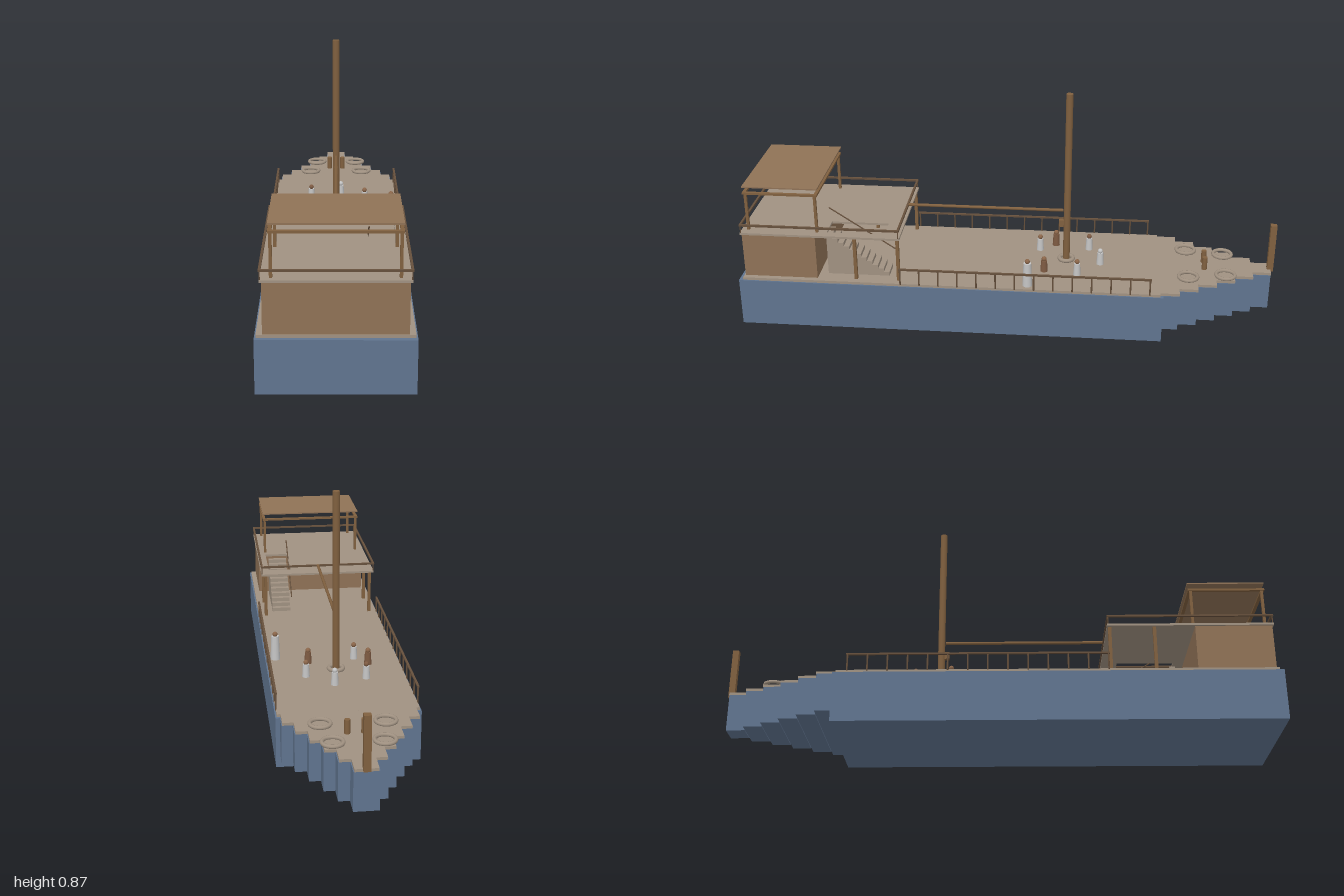
import * as THREE from 'three';

const mat = (name, color) => Object.assign(new THREE.MeshStandardMaterial({ color }), { name });

export function createModel() {
  const ship = new THREE.Group();
  ship.name = 'barge';
  const M = {
    hull: mat('hullBlue', 0x60748f),
    deck: mat('deckTan', 0xa09181),
    wood: mat('wood', 0x8f7256),
    mast: mat('mastWood', 0x80603f),
    rail: mat('darkRail', 0x66503c),
    white: mat('paleCloth', 0xc4c4c4),
    brown: mat('brownCloth', 0x7d5a42),
    skin: mat('skin', 0x8a6549),
  };
  const add = (name, geo, m, parent = ship) => {
    const mesh = new THREE.Mesh(geo, m);
    mesh.name = name;
    parent.add(mesh);
    return mesh;
  };
  // box from opposite corners
  const box = (name, m, x0, x1, y0, y1, z0, z1, parent) => {
    const b = add(name, new THREE.BoxGeometry(x1 - x0, y1 - y0, z1 - z0), m, parent);
    b.position.set((x0 + x1) / 2, (y0 + y1) / 2, (z0 + z1) / 2);
    return b;
  };
  // upright cylinder from its base
  const post = (name, m, x, z, y0, y1, r, parent) => {
    const c = add(name, new THREE.CylinderGeometry(r, r, y1 - y0, 12), m, parent);
    c.position.set(x, (y0 + y1) / 2, z);
    return c;
  };
  // straight round bar between two points
  const bar = (name, m, a, b, r, parent) => {
    const A = new THREE.Vector3(...a), B = new THREE.Vector3(...b), d = B.clone().sub(A);
    const c = add(name, new THREE.CylinderGeometry(r, r, d.length(), 8), m, parent);
    c.position.copy(A).add(B).multiplyScalar(0.5);
    c.quaternion.setFromUnitVectors(new THREE.Vector3(0, 1, 0), d.normalize());
    return c;
  };

  // hull, main deck and stepped bow
  box('hull', M.hull, -0.25, 0.25, 0, 0.183, -0.58, 1);
  box('mainDeck', M.deck, -0.245, 0.245, 0.183, 0.193, -0.57, 0.985);
  [0.235, 0.197, 0.157, 0.118, 0.08, 0.042].forEach((w, i) => {
    const z = -0.57 - i * 0.07;
    box('bowStep', M.hull, -w, w, 0.045, 0.183, z - 0.068, z);
    box('bowDeck', M.deck, -w + 0.003, w - 0.003, 0.183, 0.193, z - 0.07, z);
  });
  box('bowPost', M.mast, -0.012, 0.012, 0.186, 0.375, -1, -0.977);

  // mooring rings and bollards
  for (const s of [-1, 1]) {
    for (const [x, z] of [[0.085, -0.815], [0.11, -0.675]]) {
      const ring = add('ropeRing', new THREE.TorusGeometry(0.035, 0.007, 8, 24), M.deck);
      ring.rotation.x = Math.PI / 2;
      ring.position.set(s * x, 0.202, z);
    }
    post('bollard', M.mast, s * 0.028, -0.74, 0.193, 0.243, 0.01);
  }

  // mast, its collar and boom
  post('mast', M.mast, 0, -0.215, 0.193, 0.87, 0.013);
  const collar = add('mastCollar', new THREE.TorusGeometry(0.026, 0.008, 8, 24), M.deck);
  collar.rotation.x = Math.PI / 2;
  collar.position.set(0, 0.202, -0.215);
  bar('boom', M.mast, [0, 0.404, -0.2], [0, 0.404, 0.39], 0.006);
  box('mastCleat', M.mast, -0.008, 0.008, 0.338, 0.365, -0.203, -0.185);

  // side railings
  for (const s of [-1, 1]) {
    const g = new THREE.Group();
    g.name = 'sideRailing';
    ship.add(g);
    const x = s * 0.245;
    box('topRail', M.rail, x - 0.004, x + 0.004, 0.25, 0.256, -0.535, 0.395, g);
    for (let i = 0; i < 14; i++) post('railPost', M.rail, x, 0.39 - i * 0.0708, 0.19, 0.252, 0.003, g);
  }

  // deckhouse and upper deck around the stair opening
  box('deckhouse', M.wood, -0.225, 0.225, 0.193, 0.365, 0.705, 0.98);
  for (const [x0, x1, z0, z1] of [
    [-0.232, 0.232, 0.665, 0.985], [-0.232, 0.232, 0.39, 0.45],
    [-0.232, 0.107, 0.45, 0.665], [0.198, 0.232, 0.45, 0.665],
  ]) box('upperDeck', M.deck, x0, x1, 0.364, 0.372, z0, z1);
  for (const s of [-1, 1]) {
    for (const z of [0.4, 0.56]) box('deckPost', M.mast, s * 0.215 - 0.006, s * 0.215 + 0.006, 0.193, 0.364, z - 0.006, z + 0.006);
    box('upperSideRail', M.rail, s * 0.23 - 0.004, s * 0.23 + 0.004, 0.399, 0.406, 0.39, 0.985);
    for (const z of [0.394, 0.981]) post('railStub', M.rail, s * 0.23, z, 0.37, 0.4, 0.002);
  }
  for (const z of [0.394, 0.981]) box('upperCrossRail', M.rail, -0.23, 0.23, 0.399, 0.406, z - 0.004, z + 0.004);

  // staircase: stepped profile extruded across x
  const steps = 11, profile = new THREE.Shape();
  profile.moveTo(-0.672, 0.193);
  profile.lineTo(-0.44, 0.193);
  for (let i = 0; i < steps; i++) {
    const y = 0.193 + (i + 1) * 0.0145;
    profile.lineTo(-0.44 - i * 0.0211, y);
    profile.lineTo(-0.44 - (i + 1) * 0.0211, y);
  }
  const stairGeo = new THREE.ExtrudeGeometry(profile, { depth: 0.075, bevelEnabled: false });
  stairGeo.rotateY(Math.PI / 2);
  const stairs = add('staircase', stairGeo, M.deck);
  stairs.position.x = 0.11;
  bar('stairHandrail', M.rail, [0.107, 0.43, 0.675], [0.107, 0.262, 0.42], 0.0025);

  // canopy over the deckhouse
  box('canopyRoof', M.wood, -0.205, 0.205, 0.543, 0.548, 0.69, 0.97);
  for (const s of [-1, 1]) {
    for (const z of [0.702, 0.96]) box('canopyPost', M.mast, s * 0.197 - 0.005, s * 0.197 + 0.005, 0.372, 0.518, z - 0.005, z + 0.005);
    box('canopySideBeam', M.mast, s * 0.199 - 0.006, s * 0.199 + 0.006, 0.516, 0.524, 0.692, 0.97);
  }
  for (const z of [0.698, 0.964]) box('canopyCrossBeam', M.mast, -0.205, 0.205, 0.516, 0.524, z - 0.006, z + 0.006);

  // crew: x, z, height, body and head colours
  for (const [x, z, h, body, head] of [
    [0.02, -0.345, 0.06, M.white, M.white], [-0.1, -0.3, 0.06, M.white, M.brown],
    [0.115, -0.26, 0.06, M.white, M.skin], [-0.125, -0.17, 0.06, M.brown, M.skin],
    [0.095, -0.135, 0.055, M.brown, M.skin], [-0.08, -0.11, 0.06, M.white, M.skin],
    [0.213, -0.08, 0.115, M.white, M.skin],
  ]) {
    const g = new THREE.Group();
    g.name = 'crewMember';
    g.position.set(x, 0.193, z);
    ship.add(g);
    const r = h > 0.1 ? 0.018 : 0.014;
    const b = add('body', new THREE.CylinderGeometry(r * 0.8, r, h * 0.8, 12), body, g);
    b.position.y = h * 0.4;
    const k = add('head', new THREE.SphereGeometry(0.0095, 12, 8), head, g);
    k.position.y = h * 0.8 + 0.007;
  }
  return ship;
}
